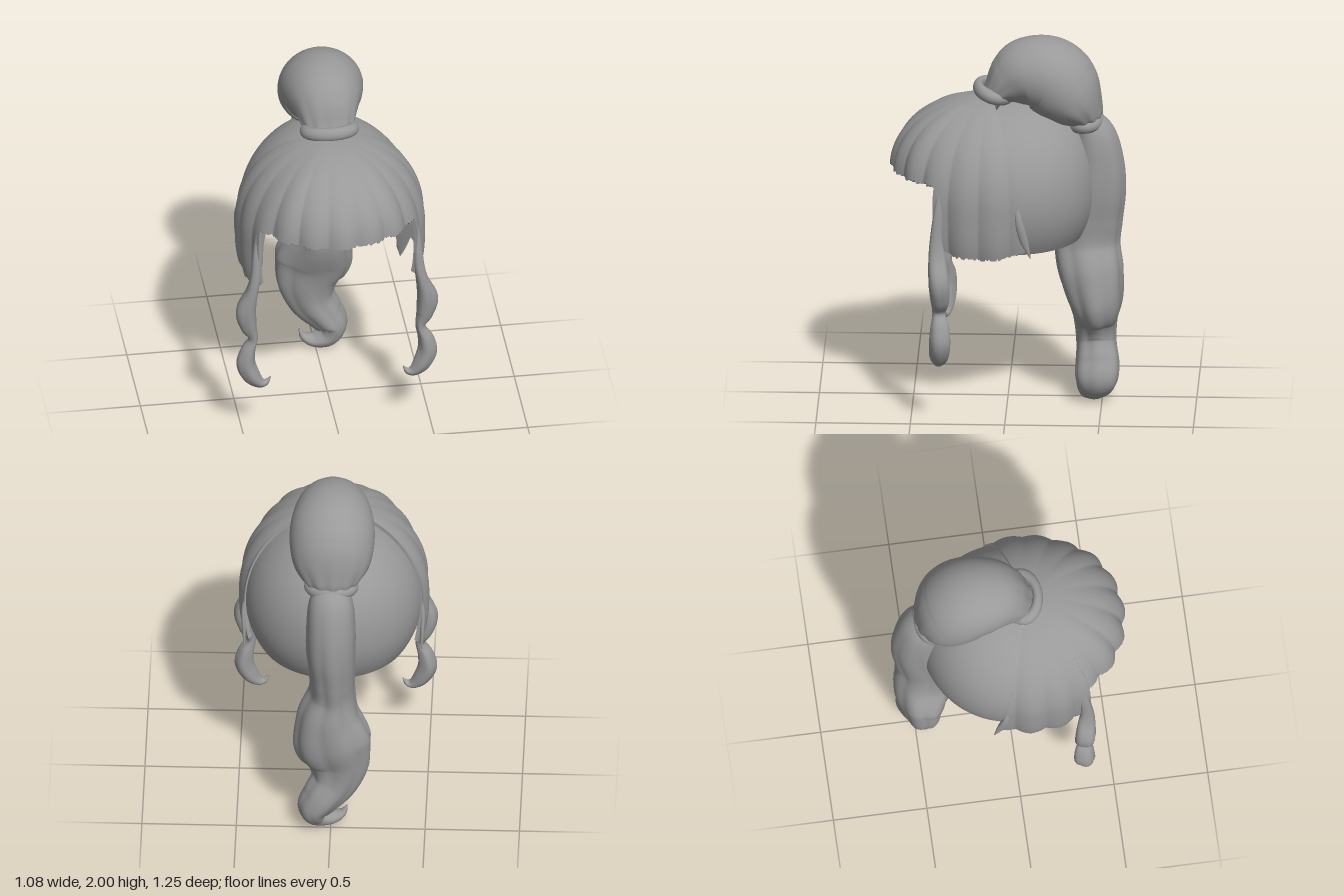
import * as THREE from 'three';
import { toCreasedNormals } from 'three/addons/utils/BufferGeometryUtils.js';

const V = (x, y, z) => new THREE.Vector3(x, y, z);
const hash = n => { const s = Math.sin(n * 12.9898) * 43758.5453; return s - Math.floor(s); };
const RAD = Math.PI / 180;

function geometry(pos, idx) {
  const g = new THREE.BufferGeometry();
  g.setAttribute('position', new THREE.Float32BufferAttribute(pos, 3));
  g.setIndex(idx);
  return g;
}

// Sweeps an oval section along rows of [x, y, z, radius along ref, other radius]
function loft(rows, ref, { lobes = 5, groove = () => 0, steps = 90, sides = 40, mirror = 1 } = {}) {
  const path = new THREE.CatmullRomCurve3(rows.map(r => V(r[0] * mirror, r[1], r[2])), false, 'catmullrom');
  const size = new THREE.CatmullRomCurve3(rows.map(r => V(r[3], r[4], 0)), false, 'catmullrom');
  const pos = [], idx = [];
  for (let i = 0; i <= steps; i++) {
    const t = i / steps, p = path.getPoint(t), r = size.getPoint(t), T = path.getTangent(t);
    const A = ref.clone().addScaledVector(T, -T.dot(ref)).normalize();
    const B = T.clone().cross(A);
    for (let j = 0; j < sides; j++) {
      const a = j / sides * Math.PI * 2;
      const k = 1 + groove(t) * (Math.abs(Math.sin(a * lobes / 2 + t * 1.5 * mirror)) - 0.6);
      const q = p.clone().addScaledVector(A, Math.cos(a) * Math.max(r.x, 0.002) * k)
        .addScaledVector(B, Math.sin(a) * Math.max(r.y, 0.002) * k);
      pos.push(q.x, q.y, q.z);
      if (i < steps) {
        const j2 = (j + 1) % sides, o = i * sides, n = o + sides;
        idx.push(o + j, o + j2, n + j, o + j2, n + j2, n + j);
      }
    }
  }
  const g = geometry(pos, idx);
  g.computeVertexNormals();
  return g;
}

// Closed slab between an outer and an inner surface; u runs sideways, v runs down
function shell(outer, inner, nu, nv) {
  const pos = [], idx = [], ring = 2 * (nv + 1);
  for (let i = 0; i <= nu; i++) {
    for (let j = 0; j <= nv; j++) pos.push(...outer(i / nu, j / nv));
    for (let j = nv; j >= 0; j--) pos.push(...inner(i / nu, j / nv));
  }
  for (let i = 0; i < nu; i++) for (let j = 0; j < ring; j++) {
    const a = i * ring + j, b = i * ring + (j + 1) % ring;
    idx.push(a, b, a + ring, b, b + ring, a + ring);
  }
  for (let j = 0; j < nv; j++) {
    const o = j, n = ring - 1 - j, e = nu * ring;
    idx.push(o, n, o + 1, o + 1, n, n - 1);
    idx.push(e + o, e + o + 1, e + n, e + o + 1, e + n - 1, e + n);
  }
  return toCreasedNormals(geometry(pos, idx), 50 * RAD);
}

// Width of a dome at height c (1 at the pole, below 0 under its widest line)
const domeWidth = (c, above, below) => {
  const n = c > 0 ? above : below;
  return Math.max(0, 1 - Math.abs(c) ** n) ** (1 / n);
};

// Combed front hair: a scalloped dome fanning out from the crown
function combed(phi, v, bottom, inset) {
  const cy = 1.27 - 0.11 * THREE.MathUtils.smoothstep(Math.abs(phi), 0.55, 1.15);
  const ry = 1.672 - cy;
  const c = Math.cos(v * Math.acos(THREE.MathUtils.clamp((bottom - cy) / ry, -1, 1)));
  const scallop = 1 + 0.045 * (Math.abs(Math.sin(phi * 9.5 + Math.PI / 2)) - 0.7) * v;
  const s = domeWidth(c, 2.08, 3) * scallop * (1 - inset * 2);
  return [Math.sin(phi) * 0.5 * s, cy + c * (ry - inset), 0.1 + Math.cos(phi) * 0.52 * s];
}

export function createModel() {
  const group = new THREE.Group();
  const grey = new THREE.MeshStandardMaterial({ color: 0x999999 });
  grey.name = 'hairGrey';
  grey.side = THREE.DoubleSide;
  const add = (name, geo) => {
    const m = new THREE.Mesh(geo, grey);
    m.name = name;
    group.add(m);
    return m;
  };

  // Smooth back cap, reaching under the front hair, with a shallow hollow underneath
  const capPoint = (u, theta, cy, rx, ry, rz) => {
    const phi = (68 + 224 * u) * RAD, c = Math.cos(theta);
    const s = domeWidth(c, 2 + 0.3 * Math.cos(phi) ** 2, 2);
    return [Math.sin(phi) * s * rx, cy + c * ry, Math.cos(phi) * s * rz];
  };
  add('backCap', shell(
    (u, v) => capPoint(u, v * Math.acos(-0.26 / 0.485), 1.17, 0.47, 0.485, 0.468),
    (u, v) => capPoint(u, v * Math.PI / 2, 0.938, 0.385, 0.48, 0.25), 80, 32));

  // Fringe, cut straight across the brow with a ragged edge
  const edge = 57 * RAD;
  const fringe = inset => (u, v) =>
    combed((u * 2 - 1) * edge, v, 1.285 + 0.018 * hash(Math.round(u * 140)), inset);
  add('fringe', shell(fringe(0), fringe(0.02), 140, 24));

  // Longer hair over each temple
  for (const s of [1, -1]) {
    const side = inset => (u, v) => {
      const w = s > 0 ? u : 1 - u;
      const phi = edge + w * (47 + 11 * v * v) * RAD;
      const bottom = 0.895 + 0.05 * (2 * w - 1) ** 2 + 0.02 * hash(Math.round(w * 80) + 7);
      return combed(s * phi, v, bottom, inset);
    };
    add(s > 0 ? 'leftSideHair' : 'rightSideHair', shell(side(0), side(0.02), 80, 36));
  }

  // Curled locks and small flicks behind the temples
  const lock = [
    [0.42, 1.3, 0.345, 0.004, 0.004], [0.43, 1.15, 0.355, 0.025, 0.02],
    [0.437, 1.0, 0.365, 0.035, 0.028], [0.455, 0.9, 0.36, 0.047, 0.033],
    [0.485, 0.78, 0.35, 0.055, 0.055], [0.472, 0.68, 0.345, 0.05, 0.045], [0.447, 0.6, 0.35, 0.035, 0.025],
    [0.475, 0.52, 0.345, 0.05, 0.04], [0.485, 0.44, 0.345, 0.055, 0.05], [0.455, 0.365, 0.35, 0.05, 0.045],
    [0.415, 0.322, 0.352, 0.035, 0.03], [0.38, 0.318, 0.352, 0.02, 0.017], [0.355, 0.35, 0.352, 0.003, 0.003]];
  const flick = [
    [0.46, 1.22, -0.06, 0.004, 0.004], [0.475, 1.12, -0.075, 0.02, 0.012],
    [0.472, 1.02, -0.1, 0.022, 0.012], [0.47, 0.92, -0.135, 0.003, 0.003]];
  for (const s of [1, -1]) {
    const n = s > 0 ? 'left' : 'right';
    add(n + 'Lock', loft(lock, V(0, 0, 1), { groove: () => 0.12, lobes: 4, sides: 24, mirror: s }));
    add(n + 'Flick', loft(flick, V(0, 0, 1), { steps: 20, sides: 12, mirror: s }));
  }

  // Bun arching from the crown to the back of the head
  add('bun', loft([
    [0, 1.64, 0.085, 0.11, 0.06], [0, 1.705, 0.05, 0.135, 0.085], [0, 1.76, -0.015, 0.165, 0.15],
    [0, 1.795, -0.1, 0.2, 0.192], [0, 1.785, -0.215, 0.223, 0.208], [0, 1.715, -0.295, 0.223, 0.202],
    [0, 1.635, -0.36, 0.2, 0.158], [0, 1.575, -0.4, 0.155, 0.11], [0, 1.525, -0.415, 0.1, 0.075]], V(1, 0, 0),
    { lobes: 11, groove: t => 0.14 * Math.abs(2 * t - 1) ** 3, sides: 66 }));

  // Hair ties
  const tie = (name, r, tube, y, z, tilt, depth) => {
    const m = add(name, new THREE.TorusGeometry(r, tube, 16, 48).rotateX(Math.PI / 2));
    m.position.set(0, y, z);
    m.rotation.x = tilt;
    m.scale.z = depth;
  };
  tie('frontTie', 0.122, 0.036, 1.698, 0.075, -0.28, 0.72);
  tie('backTie', 0.108, 0.036, 1.535, -0.41, 0.1, 0.7);

  // Wavy ponytail ending in a curl
  add('ponytail', loft([
    [0, 1.55, -0.425, 0.07, 0.09], [0, 1.45, -0.46, 0.115, 0.12], [0, 1.3, -0.47, 0.145, 0.13],
    [0, 1.15, -0.46, 0.162, 0.13], [-0.005, 1.0, -0.43, 0.175, 0.122], [-0.005, 0.85, -0.418, 0.172, 0.122],
    [0.01, 0.7, -0.438, 0.17, 0.168], [-0.01, 0.55, -0.463, 0.145, 0.205], [-0.038, 0.42, -0.462, 0.115, 0.17],
    [-0.02, 0.3, -0.467, 0.105, 0.13], [0.045, 0.2, -0.475, 0.115, 0.105], [0.09, 0.125, -0.47, 0.112, 0.085],
    [0.065, 0.06, -0.455, 0.085, 0.058], [-0.005, 0.037, -0.45, 0.055, 0.037],
    [-0.06, 0.06, -0.45, 0.03, 0.022], [-0.085, 0.11, -0.45, 0.004, 0.004]], V(0, 0, 1),
    { lobes: 7, groove: t => 0.09 * Math.sin(Math.PI * Math.min(1, t * 1.1)), steps: 140, sides: 56 }));

  return group;
}
